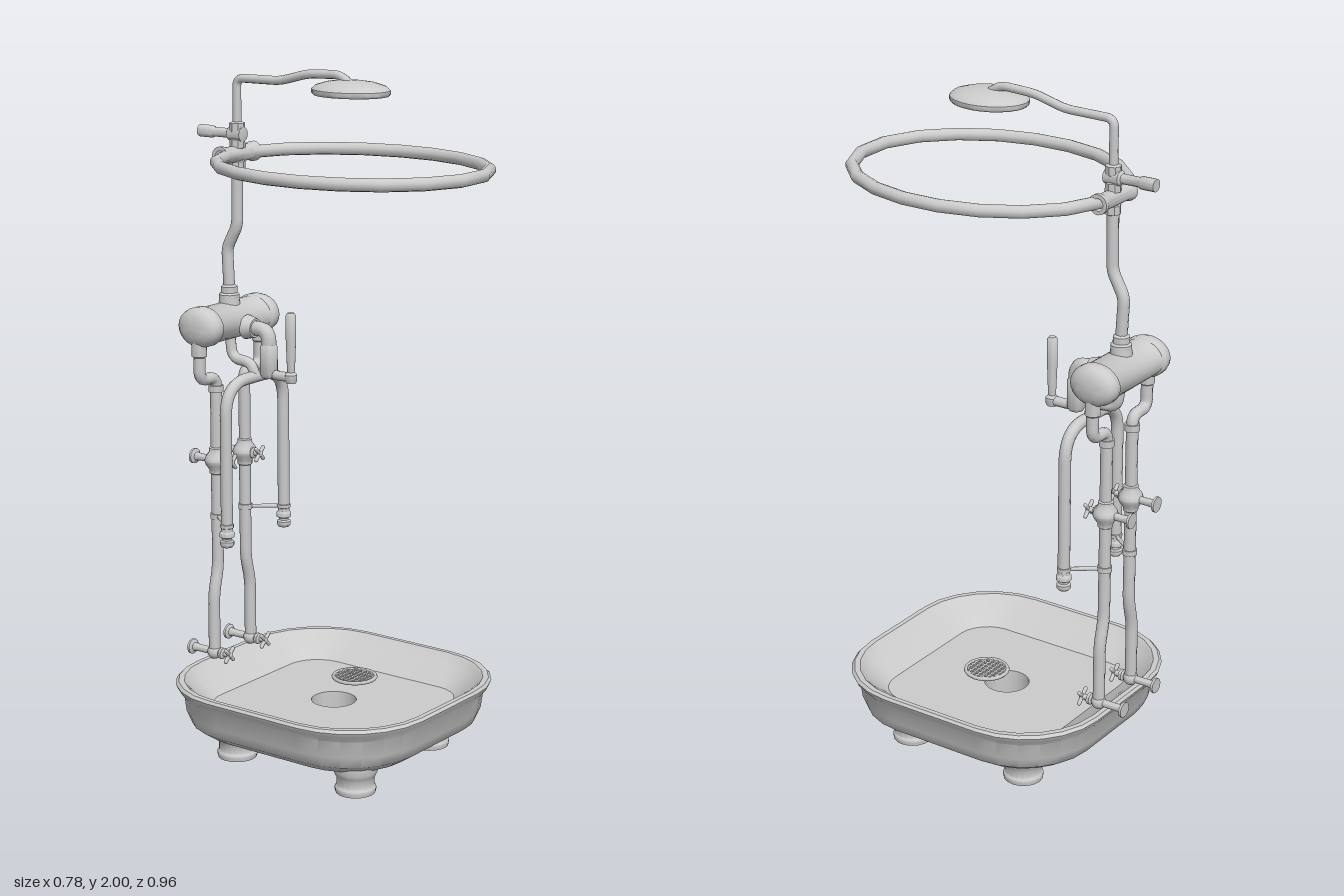
import * as THREE from 'three';
import { toCreasedNormals } from 'three/addons/utils/BufferGeometryUtils.js';

const grey = new THREE.MeshStandardMaterial({ color: 0xcccccc, side: THREE.DoubleSide });
const V = (x, y, z) => new THREE.Vector3(x, y, z);

function add(parent, name, geometry, x = 0, y = 0, z = 0) {
  const mesh = new THREE.Mesh(geometry, grey);
  mesh.name = name;
  mesh.position.set(x, y, z);
  parent.add(mesh);
  return mesh;
}

// Turned part from [radius, height] pairs, listed bottom to top
function turned(profile, sides = 16) {
  const g = new THREE.LatheGeometry(profile.map(p => new THREE.Vector2(p[0], p[1])), sides);
  return toCreasedNormals(g, 0.7);
}

// Pipe along a polyline whose corners are rounded by the bend distance
function pipe(points, r, bend = 0.03, segments = 48) {
  const p = points.map(a => V(...a));
  const path = new THREE.CurvePath();
  let from = p[0];
  for (let i = 1; i < p.length - 1; i++) {
    const toward = q => p[i].clone().lerp(q, Math.min(0.49, bend / p[i].distanceTo(q)));
    const a = toward(p[i - 1]), b = toward(p[i + 1]);
    path.add(new THREE.LineCurve3(from, a));
    path.add(new THREE.QuadraticBezierCurve3(a, p[i], b));
    from = b;
  }
  path.add(new THREE.LineCurve3(from, p[p.length - 1]));
  return new THREE.TubeGeometry(path, segments, r, 10);
}

// Skin over rounded-rectangle rings [halfX, halfZ, cornerRadius, y]
function loft(rings, cornerSteps = 6) {
  const pos = [], index = [], n = 4 * (cornerSteps + 1);
  for (const [hx, hz, r, y] of rings) {
    for (let q = 0; q < 4; q++) {
      const sx = q === 0 || q === 3 ? 1 : -1, sz = q < 2 ? 1 : -1;
      for (let k = 0; k <= cornerSteps; k++) {
        const t = (q + k / cornerSteps) * Math.PI / 2;
        pos.push(sx * (hx - r) + r * Math.cos(t), y, sz * (hz - r) + r * Math.sin(t));
      }
    }
  }
  for (let j = 0; j < rings.length - 1; j++) {
    for (let i = 0; i < n; i++) {
      const a = j * n + i, b = j * n + (i + 1) % n;
      index.push(a, a + n, b, b, a + n, b + n);
    }
  }
  const g = new THREE.BufferGeometry();
  g.setAttribute('position', new THREE.Float32BufferAttribute(pos, 3));
  g.setIndex(index);
  return toCreasedNormals(g, 0.6);
}

function buildTray(root) {
  const tray = new THREE.Group();
  tray.name = 'tray';
  root.add(tray);
  // Basin: underside, outer wall, rolled lip, sloping inner wall, raised floor, drain well
  add(tray, 'basin', loft([
    [0.08, 0.08, 0.075, 0.066], [0.24, 0.26, 0.14, 0.066], [0.31, 0.33, 0.18, 0.078],
    [0.35, 0.37, 0.22, 0.105], [0.365, 0.387, 0.24, 0.14], [0.37, 0.392, 0.24, 0.19],
    [0.387, 0.408, 0.25, 0.212], [0.39, 0.411, 0.25, 0.222], [0.384, 0.405, 0.25, 0.23],
    [0.37, 0.39, 0.24, 0.23], [0.362, 0.382, 0.235, 0.222], [0.335, 0.355, 0.18, 0.203],
    [0.27, 0.29, 0.1, 0.157],
    [0.066, 0.066, 0.065, 0.157], [0.066, 0.066, 0.065, 0.07], [0.005, 0.005, 0.004, 0.07],
  ]));
  add(tray, 'drainCollar', turned([
    [0, 0.045], [0.06, 0.045], [0.06, 0.035], [0.078, 0.035], [0.084, 0.042], [0.084, 0.07],
  ], 20));

  // Loose grate raised beside the drain
  const grate = new THREE.Group();
  grate.name = 'drainGrate';
  grate.position.set(0.062, 0.217, 0.03);
  tray.add(grate);
  const ring = add(grate, 'grateRing', new THREE.TorusGeometry(0.062, 0.006, 6, 24));
  ring.rotation.x = Math.PI / 2;
  for (let i = -3; i <= 3; i++) {
    const d = i * 0.016, length = 2 * Math.sqrt(0.062 ** 2 - d * d);
    add(grate, 'grateBar', new THREE.BoxGeometry(0.006, 0.006, length), d);
    add(grate, 'grateCrossBar', new THREE.BoxGeometry(length, 0.006, 0.006), 0, 0, d);
  }

  // Hollow feet
  const foot = turned([
    [0, 0.02], [0.048, 0.02], [0.048, 0], [0.057, 0], [0.059, 0.008], [0.059, 0.016],
    [0.054, 0.022], [0.054, 0.046], [0.059, 0.054], [0.064, 0.066], [0.064, 0.085],
  ], 20);
  for (const [x, z] of [[0.205, 0.2], [0.205, -0.2], [-0.205, -0.2], [-0.22, 0.24]]) {
    add(tray, 'foot', foot, x, 0, z);
  }
}

// Valve with a wall flange behind and a cross handle in front
function buildValve(root, x, y, z, body) {
  const valve = new THREE.Group();
  valve.name = 'valve';
  valve.position.set(x, y, z);
  root.add(valve);
  const stem = add(valve, 'wallStem', turned([
    [0, -0.088], [0.023, -0.088], [0.023, -0.081], [0.013, -0.076], [0.011, -0.06], [0.011, 0.02],
    [0.017, 0.025], [0.017, 0.034], [0.008, 0.038], [0.008, 0.062], [0, 0.066],
  ], 12));
  stem.rotation.x = Math.PI / 2;
  if (body) {
    add(valve, 'valveBody', turned([
      [0.016, -0.042], [0.022, -0.038], [0.022, -0.028], [0.033, -0.012], [0.037, 0],
      [0.033, 0.012], [0.022, 0.028], [0.022, 0.038], [0.016, 0.042],
    ]));
  } else {
    add(valve, 'elbow', new THREE.SphereGeometry(0.022, 14, 10));
  }
  for (const turn of [Math.PI / 4, -Math.PI / 4]) {
    const spoke = add(valve, 'crossHandle', new THREE.CapsuleGeometry(0.006, 0.048, 3, 8), 0, 0, 0.056);
    spoke.rotation.z = turn;
  }
}

export function createModel() {
  const root = new THREE.Group();
  root.name = 'shower';
  const zp = -0.38;
  buildTray(root);

  // Tank: flattened horizontal cylinder with domed, rimmed ends
  const half = [[0.056, 0.112], [0.059, 0.116], [0.059, 0.135], [0.055, 0.15], [0.045, 0.161], [0.028, 0.168], [0, 0.17]];
  const tank = add(root, 'tank', turned([...half.map(([r, y]) => [r, -y]).reverse(), [0.054, -0.111], [0.054, 0.111], ...half], 24), 0, 1.248, zp);
  tank.rotation.z = Math.PI / 2;
  tank.scale.z = 1.24;

  for (const s of [1, -1]) {
    // Supply pipe: down from the tank end, in, then down to the tray
    add(root, 'supplyPipe', pipe([
      [s * 0.14, 1.22, zp], [s * 0.14, 1.09, zp], [s * 0.066, 1.09, zp],
      [s * 0.066, 0.51, zp], [s * 0.086, 0.43, zp], [s * 0.086, 0.24, zp],
    ], 0.0175, 0.03, 110));
    add(root, 'tankCollar', turned([[0.017, -0.02], [0.022, -0.016], [0.022, 0.03]]), s * 0.14, 1.18, zp);
    add(root, 'pipeCollar', turned([[0.017, -0.01], [0.022, -0.01], [0.022, 0.01], [0.017, 0.01]]), s * 0.066, 1.055, zp);
    buildValve(root, s * 0.066, 0.838, zp, true);
    buildValve(root, s * 0.086, 0.25, zp, false);
    // Ribbed nozzle on each end of the arch, with its stay
    add(root, 'archNozzle', turned([
      [0, 0.605], [0.016, 0.605], [0.021, 0.612], [0.021, 0.622], [0.015, 0.626], [0.015, 0.632],
      [0.022, 0.636], [0.022, 0.648], [0.017, 0.654], [0.017, 0.662], [0.02, 0.664], [0.02, 0.674], [0.015, 0.676],
    ]), s * 0.135, 0, -0.288);
    add(root, 'archStay', pipe([[s * 0.135, 0.668, -0.288], [s * 0.066, 0.668, zp]], 0.006, 0, 2));
    add(root, 'stayClamp', turned([[0.017, -0.008], [0.021, -0.008], [0.021, 0.008], [0.017, 0.008]]), s * 0.066, 0.668, zp);
  }

  // Double-legged arch in front and its link to the tank
  add(root, 'arch', pipe([
    [-0.135, 0.65, -0.288], [-0.135, 1.09, -0.288], [0.135, 1.09, -0.288], [0.135, 0.65, -0.288],
  ], 0.0175, 0.095, 80));
  add(root, 'archLink', pipe([[0, 1.09, -0.285], [0, 1.13, -0.3], [0, 1.135, -0.37], [0, 1.21, zp]], 0.016, 0.03));

  // Mixer spout with upright lever
  add(root, 'mixerNeck', pipe([[0, 1.235, -0.33], [0, 1.235, -0.235], [0, 1.13, -0.235]], 0.022, 0.035));
  add(root, 'mixerBody', turned([
    [0, -0.07], [0.02, -0.07], [0.026, -0.06], [0.026, 0.02], [0.02, 0.03],
  ]), 0, 1.165, -0.235);
  add(root, 'mixerArm', pipe([[0, 1.14, -0.235], [0, 1.105, -0.225], [0, 1.105, -0.15]], 0.014, 0.025));
  add(root, 'mixerLever', turned([
    [0, 1.09], [0.015, 1.09], [0.018, 1.098], [0.018, 1.114], [0.011, 1.122], [0.012, 1.14], [0.015, 1.22], [0.015, 1.288], [0.01, 1.296], [0, 1.296],
  ]), 0, 0, -0.154);
  const neckRing = add(root, 'neckRing', turned([[0.022, -0.02], [0.036, -0.02], [0.028, 0.012], [0.022, 0.012]]), 0, 1.235, -0.295);
  neckRing.rotation.x = Math.PI / 2;

  // Riser with a kink, and the overhead arm
  add(root, 'riserCollar', turned([
    [0.034, 1.285], [0.03, 1.31], [0.03, 1.325], [0.024, 1.33], [0.024, 1.348], [0.016, 1.354],
  ]), 0, 0, zp);
  add(root, 'riser', pipe([
    [0, 1.28, zp], [0, 1.35, zp], [0, 1.46, -0.386], [0, 1.53, -0.348], [0, 1.75, -0.345],
  ], 0.017, 0.02, 60));
  add(root, 'showerArm', pipe([
    [0, 1.7, -0.345], [0, 1.955, -0.345], [0, 1.957, -0.19], [0, 1.983, -0.09], [0, 1.988, 0.02], [0, 1.962, 0.06],
  ], 0.0125, 0.025, 90));

  // Oval shower head
  const head = add(root, 'showerHead', turned([
    [0, 1.939], [0.078, 1.939], [0.08, 1.934], [0.09, 1.934], [0.094, 1.939], [0.094, 1.95],
    [0.085, 1.96], [0.06, 1.969], [0.03, 1.974], [0, 1.976],
  ], 24), 0, 0, 0.058);
  head.scale.z = 1.25;

  // Faceted curtain ring and its T-joint on the riser
  const loop = [];
  for (let i = 0; i < 20; i++) {
    const t = (i + 0.5) / 20 * Math.PI * 2;
    loop.push(V(0.001 + 0.327 * Math.sin(t), 1.738, 0.06 - 0.405 * Math.cos(t)));
  }
  const loopPath = new THREE.CatmullRomCurve3(loop, true);
  add(root, 'curtainRing', new THREE.TubeGeometry(loopPath, 20, 0.0185, 10, true));
  const joint = add(root, 'ringJoint', turned([
    [0.017, -0.078], [0.029, -0.078], [0.029, -0.066], [0.024, -0.055], [0.024, 0.055], [0.029, 0.066], [0.029, 0.078], [0.017, 0.078],
  ]), 0, 1.738, -0.346);
  joint.rotation.z = Math.PI / 2;
  for (const y of [1.705, 1.768, 1.815]) {
    add(root, 'riserNut', turned([[0.013, -0.016], [0.023, -0.012], [0.023, 0.012], [0.013, 0.016]], 8), 0, y, -0.345);
  }

  // Wall bracket behind the riser
  const bracket = add(root, 'wallBracket', turned([
    [0, -0.135], [0.018, -0.135], [0.018, -0.09], [0.014, -0.084], [0.014, -0.03], [0.021, -0.024], [0.021, 0.022], [0, 0.026],
  ]), 0, 1.795, -0.345);
  bracket.rotation.x = Math.PI / 2;
  return root;
}
